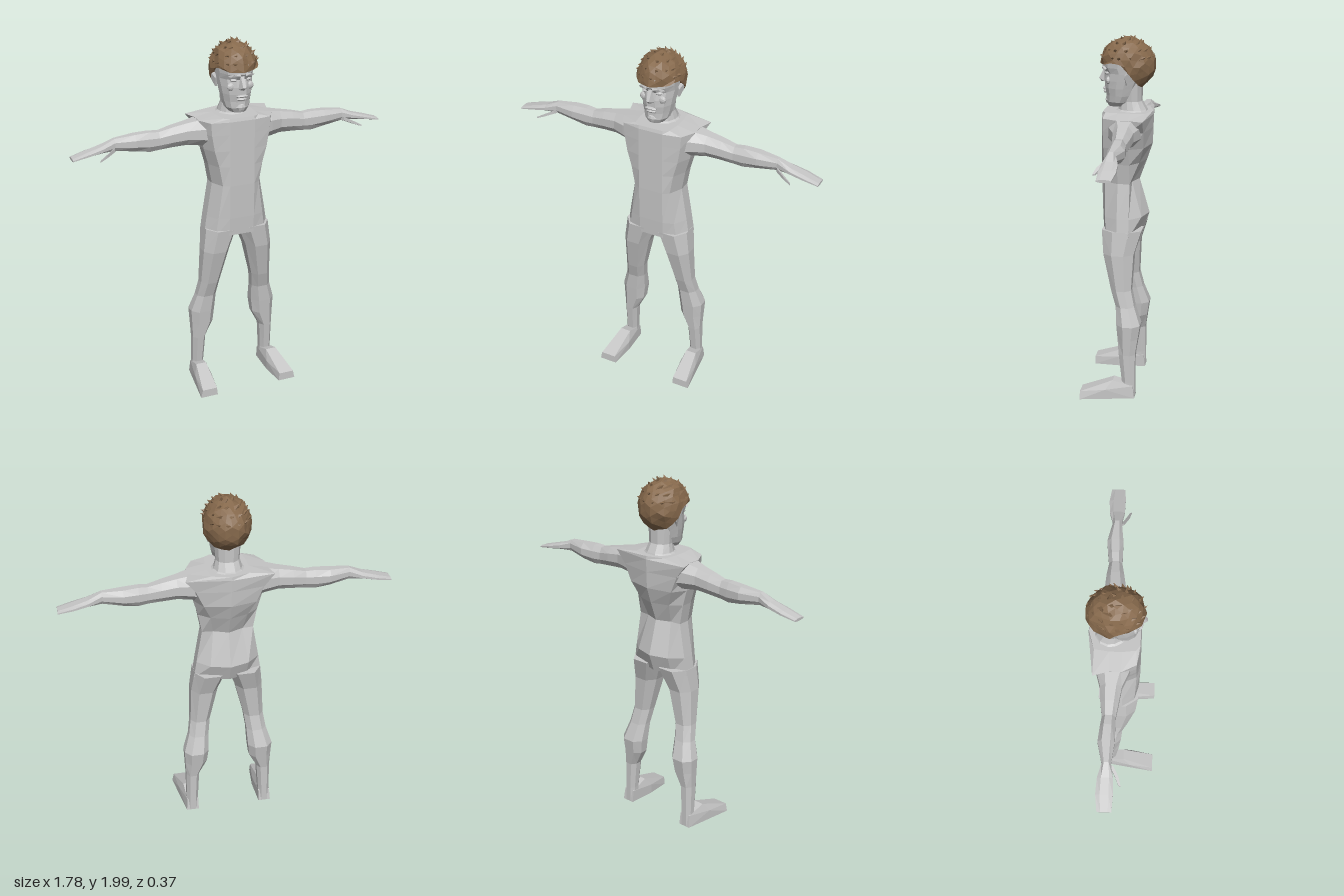
import * as THREE from 'three';
import { ConvexGeometry } from 'three/addons/geometries/ConvexGeometry.js';

const skin = new THREE.MeshStandardMaterial({ color: 0xc6c6c6 });
skin.name = 'pale grey';
const brown = new THREE.MeshStandardMaterial({ color: 0x86694c });
brown.name = 'hair brown';

// Faceted mesh from any geometry
function part(name, geometry, material = skin) {
  const g = geometry.index ? geometry.toNonIndexed() : geometry;
  g.computeVertexNormals();
  const mesh = new THREE.Mesh(g, material);
  mesh.name = name;
  return mesh;
}

// Closed skin over a series of cross-sections, always wound outwards
function loft(rings) {
  const n = rings[0].length, pts = rings.flat(), tris = [];
  for (let r = 0; r < rings.length - 1; r++) {
    for (let i = 0; i < n; i++) {
      const a = r * n + i, b = r * n + (i + 1) % n;
      tris.push([a, b, b + n], [a, b + n, a + n]);
    }
  }
  const last = (rings.length - 1) * n;
  for (let i = 1; i < n - 1; i++) tris.push([0, i + 1, i], [last, last + i, last + i + 1]);
  const v = pts.map(p => new THREE.Vector3(...p));
  const volume = tris.reduce((s, [a, b, c]) => s + v[a].dot(v[b].clone().cross(v[c])), 0);
  const index = tris.flatMap(([a, b, c]) => (volume > 0 ? [a, b, c] : [a, c, b]));
  const g = new THREE.BufferGeometry();
  g.setAttribute('position', new THREE.Float32BufferAttribute(pts.flat(), 3));
  g.setIndex(index);
  return g;
}

const hull = points => new ConvexGeometry(points.map(p => new THREE.Vector3(...p)));

// Eight-sided limb section, u and v in -1..1
const OCT = [[0.5, 1], [1, 0.4], [1, -0.4], [0.5, -1], [-0.5, -1], [-1, -0.4], [-1, 0.4], [-0.5, 1]];
const mid = (a, b, t) => (a + b) / 2 + t * (a - b) / 2;

function torso() {
  // y, front edge x, side x, back edge x, front z, back z
  const rows = [
    [0.92, 0.145, 0.187, 0.10, 0.085, -0.12],
    [1.02, 0.13, 0.172, 0.105, 0.09, -0.155],
    [1.21, 0.105, 0.14, 0.08, 0.095, -0.10],
    [1.32, 0.125, 0.16, 0.10, 0.095, -0.14],
    [1.41, 0.15, 0.185, 0.14, 0.095, -0.17],
    [1.50, 0.165, 0.20, 0.18, 0.095, -0.173],
    [1.57, 0.17, 0.21, 0.235, 0.095, -0.175],
    [1.588, 0.10, 0.11, 0.10, 0.09, -0.172],
  ];
  return loft(rows.map(([y, xf, xs, xb, zf, zb]) => {
    const half = [[0.07, zf], [xf, zf - 0.02], [xs, 0], [xs, -0.065], [xb, zb + 0.03]];
    return [[0, zf], ...half, [0, zb], ...half.map(([x, z]) => [-x, z]).reverse()]
      .map(([x, z]) => [x, y, z]);
  }));
}

function leg(s) {
  // y, inner x, outer x, front z, back z
  const rows = [
    [0.95, 0.0, 0.184, 0.087, -0.13], [0.82, 0.05, 0.20, 0.075, -0.09],
    [0.62, 0.098, 0.208, 0.03, -0.08], [0.53, 0.11, 0.222, 0.002, -0.10],
    [0.43, 0.115, 0.253, -0.005, -0.135], [0.35, 0.125, 0.249, -0.012, -0.123],
    [0.26, 0.17, 0.245, -0.02, -0.11], [0.10, 0.18, 0.245, -0.038, -0.11],
    [0.01, 0.18, 0.248, -0.035, -0.11],
  ];
  return loft(rows.map(([y, xi, xo, zf, zb]) =>
    OCT.map(([u, v]) => [s * mid(xo, xi, u), y, mid(zf, zb, v)])));
}

function foot(s) {
  return hull([
    [0.18, 0.01, -0.11], [0.25, 0.01, -0.11], [0.18, 0.08, -0.10], [0.245, 0.08, -0.10],
    [0.19, 0.112, 0.01], [0.25, 0.112, 0.01], [0.175, 0.005, 0.05], [0.272, 0.005, 0.05],
    [0.175, 0.06, 0.05], [0.272, 0.06, 0.05],
    [0.195, 0.045, 0.19], [0.28, 0.045, 0.19], [0.19, 0, 0.19], [0.29, 0, 0.19],
  ].map(([x, y, z]) => [s * x, y, z]));
}

function arm(s) {
  // x, top y, bottom y, front z, back z
  const rows = [
    [0.14, 1.575, 1.42, 0.055, -0.14], [0.20, 1.57, 1.43, 0.035, -0.125],
    [0.27, 1.556, 1.437, 0.005, -0.105], [0.35, 1.54, 1.432, -0.008, -0.1],
    [0.42, 1.523, 1.425, -0.02, -0.09], [0.47, 1.527, 1.42, -0.02, -0.097],
    [0.55, 1.523, 1.433, -0.02, -0.105], [0.66, 1.515, 1.45, -0.033, -0.08],
    [0.73, 1.485, 1.448, -0.02, -0.1], [0.81, 1.462, 1.436, -0.018, -0.105],
    [0.89, 1.438, 1.424, -0.022, -0.095],
  ];
  return loft(rows.map(([x, yt, yb, zf, zb]) =>
    OCT.map(([u, v]) => [s * x, mid(yt, yb, v), mid(zf, zb, u)])));
}

function thumb(s) {
  return loft([[0.66, 1.462, -0.035, 0.014], [0.71, 1.443, -0.005, 0.011], [0.755, 1.424, 0.012, 0.006]]
    .map(([x, y, z, r]) => [[-1, -1], [1, -1], [1, 1], [-1, 1]]
      .map(([u, v]) => [s * (x + u * r * 0.5), y + v * r * 0.7, z + u * r])));
}

// Rounded section with a flatter face side
function oval(y, w, zf, zb) {
  return [[0.28, 1], [0.7, 0.72], [0.95, 0.25], [1, -0.2], [0.8, -0.7], [0.35, -1]]
    .flatMap(p => [p]).concat([[-0.35, -1], [-0.8, -0.7], [-1, -0.2], [-0.95, 0.25], [-0.7, 0.72], [-0.28, 1]])
    .map(([u, v]) => [u * w, y, mid(zf, zb, v)]);
}

function head() {
  return loft([
    [1.61, 0.045, 0.068, -0.02], [1.635, 0.068, 0.078, -0.05], [1.67, 0.078, 0.078, -0.075],
    [1.71, 0.086, 0.085, -0.09], [1.75, 0.092, 0.086, -0.11], [1.79, 0.098, 0.078, -0.13],
    [1.82, 0.10, 0.098, -0.14], [1.87, 0.105, 0.098, -0.15], [1.93, 0.08, 0.06, -0.11],
  ].map(r => oval(...r)));
}

function neck() {
  return loft([[1.56, 0.13, 0.06, -0.15], [1.595, 0.075, 0.015, -0.135],
    [1.64, 0.063, 0.005, -0.11], [1.74, 0.07, 0.01, -0.11]].map(r => oval(...r)));
}

// Repeatable noise from a position
const noise = (x, y, z) => {
  const h = Math.sin(Math.round(x * 500) * 12.9 + Math.round(y * 500) * 78.2 + Math.round(z * 500) * 37.7) * 43758.5;
  return h - Math.floor(h);
};

// Lower edge of the hair, from forehead round to the nape
function hairline(z) {
  if (z > -0.04) return 1.835 + Math.max(0, 0.02 - Math.abs(z - 0.03) * 0.3);
  return Math.max(1.695, 1.835 - (-0.04 - z) * 2.4);
}

function hairCap() {
  const g = new THREE.IcosahedronGeometry(1, 3), p = g.attributes.position;
  for (let i = 0; i < p.count; i++) {
    const x = p.getX(i), y = p.getY(i), z = p.getZ(i);
    const k = 0.95 + 0.1 * noise(x, y, z);
    const Z = -0.035 + z * 0.147 * k;
    p.setXYZ(i, x * 0.126 * k, Math.max(1.832 + y * 0.142 * k, hairline(Z)), Z);
  }
  return g;
}

export function createModel() {
  const model = new THREE.Group();
  model.name = 'figure';
  model.add(part('torso', torso()), part('neck', neck()), part('head', head()));

  for (const [s, side] of [[1, 'left'], [-1, 'right']]) {
    model.add(
      part(side + 'Arm', arm(s)), part(side + 'Thumb', thumb(s)),
      part(side + 'Leg', leg(s)), part(side + 'Foot', foot(s)),
      // Ear, brow and eyelids
      part(side + 'Ear', hull([[0.09, 1.81, -0.035], [0.118, 1.81, -0.065], [0.09, 1.80, -0.075],
        [0.112, 1.77, -0.065], [0.09, 1.735, -0.035], [0.1, 1.735, -0.045], [0.102, 1.78, -0.03]]
        .map(([x, y, z]) => [s * x, y, z]))),
      part(side + 'Brow', hull([[0.015, 1.815, 0.105], [0.015, 1.828, 0.1], [0.05, 1.825, 0.097],
        [0.075, 1.812, 0.075], [0.06, 1.81, 0.09], [0.04, 1.82, 0.06]].map(([x, y, z]) => [s * x, y, z]))));
    const eye = part(side + 'Eye', new THREE.SphereGeometry(1, 8, 4));
    eye.scale.set(0.021, 0.009, 0.014);
    eye.position.set(s * 0.04, 1.789, 0.07);
    eye.rotation.y = s * 0.35;
    const cheek = part(side + 'Cheek', new THREE.IcosahedronGeometry(1, 1));
    cheek.scale.set(0.024, 0.022, 0.014);
    cheek.position.set(s * 0.052, 1.752, 0.062);
    model.add(eye, cheek);
  }

  // Nose, lips and chin
  model.add(part('nose', hull([[0.01, 1.815, 0.09], [-0.01, 1.815, 0.09], [0.008, 1.755, 0.122],
    [-0.008, 1.755, 0.122], [0.022, 1.74, 0.088], [-0.022, 1.74, 0.088], [0, 1.738, 0.108]])));
  for (const [name, y, w, h, z] of [['upperLip', 1.703, 0.034, 0.008, 0.088],
    ['lowerLip', 1.686, 0.028, 0.009, 0.084], ['chin', 1.64, 0.028, 0.02, 0.074]]) {
    const m = part(name, new THREE.SphereGeometry(1, 8, 4));
    m.scale.set(w, h, 0.014);
    m.position.set(0, y, z);
    model.add(m);
  }

  // Hair cap with rows of short pointed tufts
  const hair = new THREE.Group();
  hair.name = 'hair';
  hair.add(part('hairCap', hairCap(), brown));
  const tuft = new THREE.ConeGeometry(0.024, 0.055, 4);
  for (const [count, tilt] of [[5, 0.25], [9, 0.6], [13, 0.95], [15, 1.25]]) {
    for (let i = 0; i < count; i++) {
      const a = (i + 0.5 * noise(tilt, i, 1)) / count * Math.PI * 2;
      const d = new THREE.Vector3(Math.sin(tilt) * Math.sin(a), Math.cos(tilt), Math.sin(tilt) * Math.cos(a));
      const m = part('tuft', tuft, brown);
      m.position.set(d.x * 0.116, 1.832 + d.y * 0.135, -0.035 + d.z * 0.136);
      const lean = d.clone().add(new THREE.Vector3(Math.cos(a) * 0.9, 0.1, -Math.sin(a) * 0.9 + 0.3)).normalize();
      m.quaternion.setFromUnitVectors(new THREE.Vector3(0, 1, 0), lean);
      hair.add(m);
    }
  }
  model.add(hair);
  return model;
}
